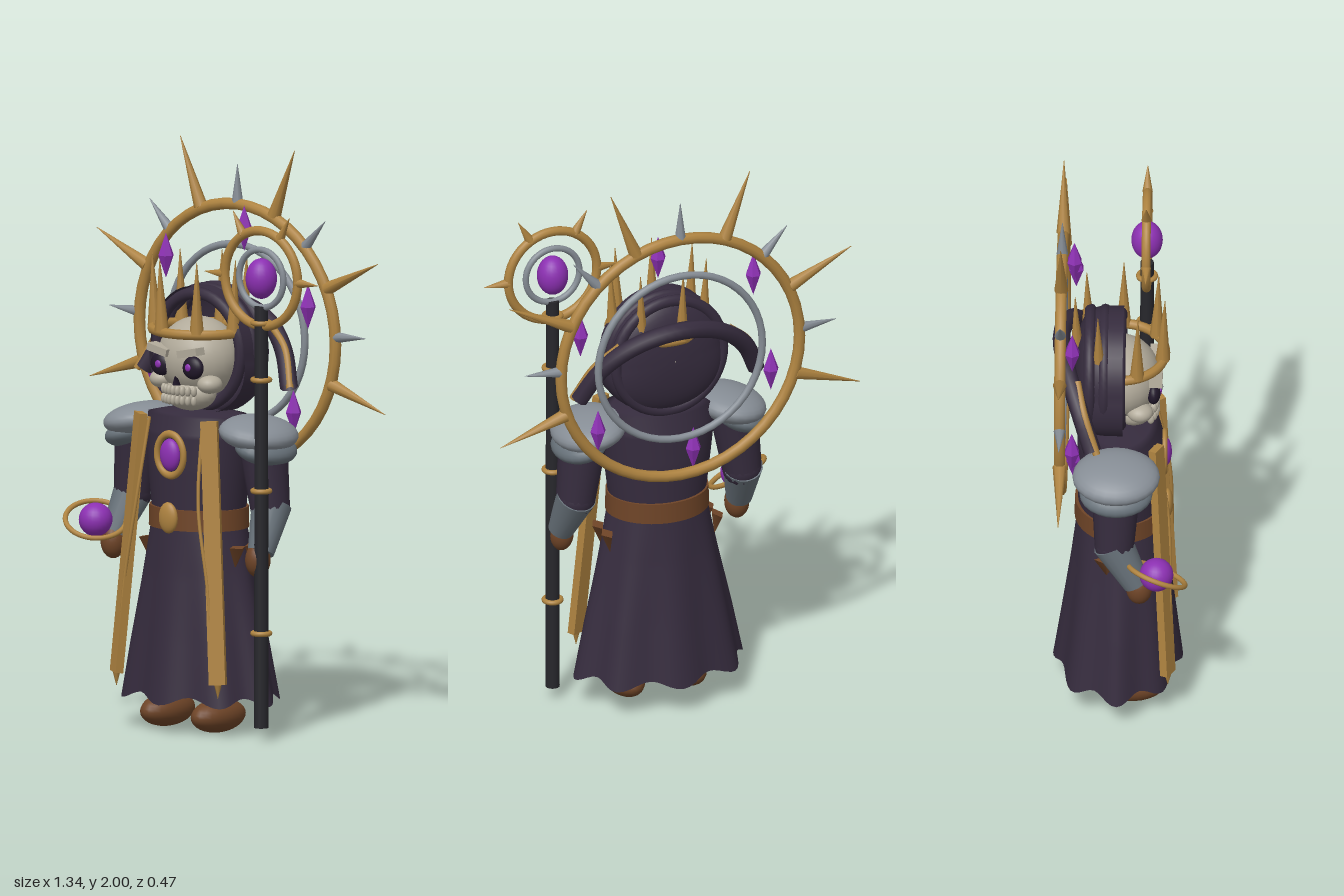
import * as THREE from 'three';
import { ParametricGeometry } from 'three/addons/geometries/ParametricGeometry.js';

const mat = (name, color, side = THREE.FrontSide) => {
  const m = new THREE.MeshStandardMaterial({ color, side });
  m.name = name;
  return m;
};

export function createModel() {
  const cloth = mat('dark cloth', 0x362c3e, THREE.DoubleSide);
  const gold = mat('gold', 0xae8340);
  const silver = mat('silver', 0x868d95);
  const steel = mat('steel', 0x68727a);
  const leather = mat('leather', 0x6e4427);
  const gem = mat('purple gem', 0x8c30b2);
  const bone = mat('bone', 0xb2ab9b);
  const ebony = mat('ebony', 0x27272c);
  const dark = mat('eye socket', 0x21182a);

  const root = new THREE.Group();
  const V = (x, y, z) => new THREE.Vector3(x, y, z);
  const add = (name, geo, m, x = 0, y = 0, z = 0, parent = root) => {
    const mesh = new THREE.Mesh(geo, m);
    mesh.name = name;
    mesh.position.set(x, y, z);
    parent.add(mesh);
    return mesh;
  };
  const ball = (name, m, x, y, z, rx, ry, rz) => {
    const b = add(name, new THREE.SphereGeometry(1, 24, 16), m, x, y, z);
    b.scale.set(rx, ry, rz);
    return b;
  };
  const ring = (name, m, x, y, z, r, tube, parent = root) =>
    add(name, new THREE.TorusGeometry(r, tube, 10, 48), m, x, y, z, parent);
  const tube = (name, m, pts, r) =>
    add(name, new THREE.TubeGeometry(new THREE.CatmullRomCurve3(pts), 32, r, 8), m);
  // Tapered round bar between two points
  const bar = (name, m, a, b, ra, rb, sides = 16) => {
    const d = b.clone().sub(a);
    const mesh = add(name, new THREE.CylinderGeometry(rb, ra, d.length(), sides), m);
    mesh.position.copy(a).addScaledVector(d, 0.5);
    mesh.quaternion.setFromUnitVectors(V(0, 1, 0), d.normalize());
    return mesh;
  };
  // Spikes standing outward on a ring in the XY plane
  const spike = (name, m, cx, cy, z, deg, r0, r1, w) => {
    const a = THREE.MathUtils.degToRad(deg), s = Math.sin(a), c = Math.cos(a);
    bar(name, m, V(cx + s * r0, cy + c * r0, z), V(cx + s * r1, cy + c * r1, z), w, 0.001, 8);
  };

  // Robe: elliptical sections [y, rx, rz, fold depth] with a wavy hem
  const sections = [[0.118, 0.298, 0.212, 0.05], [0.3, 0.262, 0.19, 0.035], [0.52, 0.215, 0.165, 0.02],
    [0.74, 0.17, 0.145, 0], [0.9, 0.19, 0.15, 0], [1.02, 0.205, 0.148, 0], [1.09, 0.2, 0.13, 0], [1.11, 0.01, 0.01, 0]];
  add('robe', new ParametricGeometry((u, v, p) => {
    const f = v * (sections.length - 1), i = Math.min(Math.floor(f), sections.length - 2), k = f - i;
    const [y, rx, rz, fold] = sections[i].map((n, j) => n + (sections[i + 1][j] - n) * k);
    const a = u * Math.PI * 2, w = 1 + fold * Math.cos(a * 8);
    const hem = Math.max(0, 1 - f) * 0.016 * Math.cos(a * 8);
    p.set(Math.sin(a) * rx * w, y - hem, Math.cos(a) * rz * w - Math.max(0, 3 - f) * 0.003);
  }, 80, 35), cloth);

  // Belt with buckle and hanging leather tabs
  const belt = add('belt', new THREE.CylinderGeometry(0.18, 0.182, 0.072, 40), leather, 0, 0.738, 0);
  belt.scale.z = 0.87;
  ball('buckle', gold, 0, 0.745, 0.16, 0.04, 0.054, 0.02);
  for (const s of [-1, 1]) for (const z of [0.035, -0.045]) {
    const tab = add('beltTab', new THREE.ConeGeometry(0.042, 0.075, 4), leather, s * 0.2, 0.612, z);
    tab.rotation.set(Math.PI, 0, s * 0.15);
    tab.scale.x = 0.5;
  }

  // Chest amulet
  ball('amuletGem', gem, 0, 0.962, 0.15, 0.042, 0.056, 0.025);
  ring('amuletRim', gold, 0, 0.962, 0.15, 0.06, 0.011).scale.y = 1.2;

  for (const s of [-1, 1]) {
    // Hanging stole, turned outward, and its cord
    const a = V(s * 0.155, 1.09, 0.125), b = V(s * 0.23, 0.19, 0.166);
    const d = b.clone().sub(a);
    const stole = add('stole', new THREE.BoxGeometry(0.058, d.length(), 0.028), gold);
    stole.position.copy(a).addScaledVector(d, 0.5);
    stole.quaternion.setFromUnitVectors(V(0, 1, 0), d.normalize().negate());
    stole.rotateY(s * 0.5);
    add('stoleTip', new THREE.ConeGeometry(0.013, 0.05, 8), gold, s * 0.23, 0.165, 0.166).rotation.z = Math.PI;
    tube('stoleCord', gold, [V(s * 0.12, 1.08, 0.12), V(s * 0.14, 0.8, 0.165), V(s * 0.19, 0.5, 0.172), V(s * 0.21, 0.2, 0.175)], 0.006);

    // Shoes
    ball('shoe', leather, s * 0.115, 0.058, 0.032, 0.066, 0.058, 0.122);

    // Layered pauldrons
    ball('pauldron', silver, s * 0.262, 1.045, -0.01, 0.128, 0.058, 0.15).rotation.z = -s * 0.18;
    ball('lowerPauldron', steel, s * 0.295, 0.995, -0.01, 0.095, 0.05, 0.125).rotation.z = -s * 0.3;

    // Arms
    const elbow = V(s * 0.31, 0.79, -0.015), wrist = V(s * 0.332, 0.645, 0.06);
    bar('sleeve', cloth, V(s * 0.28, 1.02, -0.01), elbow, 0.085, 0.068);
    ball('elbow', cloth, elbow.x, elbow.y, elbow.z, 0.068, 0.068, 0.068);
    bar('bracer', steel, V(s * 0.31, 0.8, -0.022), wrist, 0.07, 0.046);
    ball('hand', leather, s * 0.328, 0.622, 0.07, 0.043, 0.06, 0.045);

    // Gold piping on the ends of the mantle
    tube('mantlePiping', gold, [V(s * 0.347, 1.2, -0.075), V(s * 0.285, 1.325, -0.12), V(s * 0.2, 1.4, -0.145)], 0.013);
  }

  // Floating orb with tilted ring
  ball('handOrb', gem, -0.356, 0.7, 0.13, 0.058, 0.058, 0.058);
  const orbit = new THREE.Group();
  orbit.name = 'orbRing';
  orbit.position.set(-0.356, 0.7, 0.13);
  orbit.rotation.set(0.38, 0, -0.36);
  root.add(orbit);
  ring('orbRingBand', gold, 0, 0, 0, 0.104, 0.009, orbit).rotation.x = Math.PI / 2;

  // Skull
  ball('cranium', bone, 0, 1.285, 0, 0.148, 0.14, 0.135);
  ball('jaw', bone, 0, 1.165, 0.045, 0.1, 0.06, 0.075);
  for (const s of [-1, 1]) {
    ball('cheek', bone, s * 0.108, 1.207, 0.068, 0.042, 0.032, 0.045);
    ball('eyeSocket', dark, s * 0.072, 1.266, 0.114, 0.044, 0.04, 0.024);
    ball('eyeGlow', gem, s * 0.068, 1.268, 0.136, 0.013, 0.013, 0.006);
    add('brow', new THREE.BoxGeometry(0.088, 0.026, 0.045), bone, s * 0.068, 1.318, 0.122).rotation.z = s * 0.2;
  }
  const nose = add('noseHole', new THREE.ConeGeometry(0.022, 0.045, 3), dark, 0, 1.222, 0.122);
  nose.scale.z = 0.5;
  for (let i = 0; i < 8; i++) for (const y of [1.181, 1.148]) {
    const x = (i - 3.5) * 0.0195;
    ball('tooth', bone, x, y, 0.123 - x * x * 4, 0.0095, 0.018, 0.012);
  }

  // Hood: open barrel with a rounded back, flared at the neck, with rolled folds
  add('hood', new ParametricGeometry((u, v, p) => {
    const t = u * Math.PI * 2, c = Math.cos(t), s = Math.sqrt(1.0001 - v ** 5);
    p.set(Math.sin(t) * 0.212 * s * (1 + 0.22 * Math.max(0, -c)), 1.31 + c * 0.22 * s, 0.01 - 0.17 * v);
  }, 40, 24), cloth);
  for (const [z, r] of [[0.0, 0.188], [-0.055, 0.199], [-0.105, 0.199]])
    ring('hoodFold', cloth, 0, 1.31, z, r, 0.02).scale.y = 1.03;

  // Arched mantle behind the hood
  tube('mantle', cloth, [V(-0.33, 1.2, -0.09), V(-0.265, 1.32, -0.135), V(-0.15, 1.41, -0.18), V(0, 1.445, -0.203),
    V(0.15, 1.41, -0.18), V(0.265, 1.32, -0.135), V(0.33, 1.2, -0.09)], 0.031);

  // Crown
  const crown = add('crownBand', new THREE.TorusGeometry(0.165, 0.017, 8, 48), gold, 0, 1.382, 0.002);
  crown.rotation.x = Math.PI / 2;
  crown.scale.y = 0.92;
  for (let i = 0; i < 7; i++) {
    const a = -0.27 + i * Math.PI * 2 / 7, x = Math.sin(a), z = Math.cos(a);
    bar('crownSpike', gold, V(x * 0.162, 1.385, z * 0.15), V(x * 0.172, 1.635, z * 0.158), 0.025, 0.001, 8);
  }

  // Halo: two rings, alternating spikes and floating crystals
  const hy = 1.345, hz = -0.2;
  ring('haloRing', gold, 0, hy, hz, 0.445, 0.02);
  ring('innerHaloRing', silver, 0, hy, hz, 0.306, 0.013);
  for (let i = -5; i <= 5; i++) {
    const big = i % 2 !== 0;
    spike('haloSpike', big ? gold : silver, 0, hy, hz, i * 21.6, 0.45, big ? 0.705 : 0.582, big ? 0.024 : 0.02);
  }
  for (let i = 0; i < 6; i++) {
    const a = THREE.MathUtils.degToRad(10 + i * 60);
    const geo = new THREE.SphereGeometry(1, 6, 2).toNonIndexed();
    geo.computeVertexNormals();
    add('haloCrystal', geo, gem, Math.sin(a) * 0.378, hy + Math.cos(a) * 0.378, -0.16).scale.set(0.028, 0.078, 0.028);
  }

  // Staff with bands, ringed head and orb
  const sx = 0.354, sz = 0.082, top = 1.6;
  add('staffShaft', new THREE.CylinderGeometry(0.023, 0.025, 1.46, 14), ebony, sx, 0.775, sz);
  for (const y of [0.372, 0.865, 1.25, 1.447])
    ring('staffBand', gold, sx, y, sz, 0.029, 0.009).rotation.x = Math.PI / 2;
  ring('staffRing', gold, sx, top, sz, 0.165, 0.016);
  ring('staffInnerRing', silver, sx, top, sz, 0.1, 0.011);
  ball('staffOrb', gem, sx, top, sz, 0.054, 0.07, 0.054);
  for (const deg of [-90, -30, 30, 90]) spike('staffSpike', gold, sx, top, sz, deg, 0.165, 0.256, 0.018);

  return root;
}
